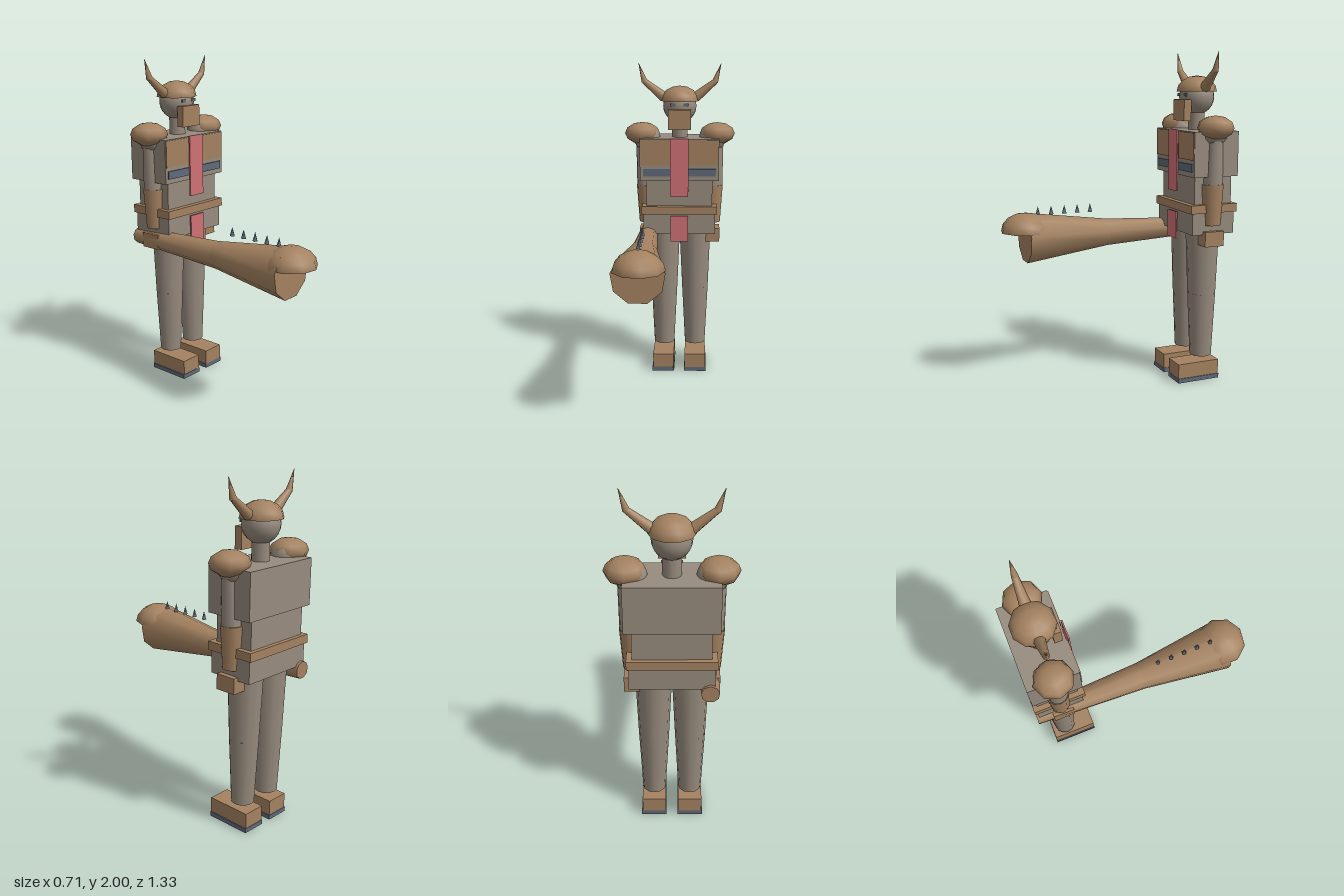
import * as THREE from 'three';

const mat = (name, color) => {
  const m = new THREE.MeshStandardMaterial({ color, side: THREE.DoubleSide });
  m.name = name;
  return m;
};

export function createModel() {
  const grey = mat('stone grey', 0x978b7e);
  const brown = mat('leather brown', 0xa48260);
  const red = mat('cloth red', 0xcf7074);
  const slate = mat('slate', 0x5f6a78);
  const model = new THREE.Group();
  model.name = 'hornedWarrior';
  const Z = -0.51; // body centre line

  const add = (name, geo, material, x = 0, y = 0, z = 0) => {
    const mesh = new THREE.Mesh(geo, material);
    mesh.name = name;
    mesh.position.set(x, y, z);
    model.add(mesh);
    return mesh;
  };
  // box given by its extents
  const box = (name, m, x0, x1, y0, y1, z0, z1) =>
    add(name, new THREE.BoxGeometry(x1 - x0, y1 - y0, z1 - z0), m,
      (x0 + x1) / 2, (y0 + y1) / 2, (z0 + z1) / 2);
  // tapered limb between two points
  const limb = (name, m, a, b, ra, rb, sides = 12) => {
    const A = new THREE.Vector3(...a), B = new THREE.Vector3(...b);
    const d = B.clone().sub(A);
    const mesh = add(name, new THREE.CylinderGeometry(rb, ra, d.length(), sides), m);
    mesh.position.copy(A).add(B).multiplyScalar(0.5);
    mesh.quaternion.setFromUnitVectors(new THREE.Vector3(0, 1, 0), d.normalize());
    return mesh;
  };
  const dome = (name, r, h, sides, x, y, z) => {
    const g = new THREE.SphereGeometry(r, sides, 4, 0, Math.PI * 2, 0, Math.PI / 2);
    g.rotateY(Math.PI).scale(1, h / r, 1);
    return add(name, g, brown, x, y, z);
  };

  // Torso
  box('chest', grey, -0.25, 0.25, 1.275, 1.54, -0.66, -0.37);
  box('abdomen', grey, -0.21, 0.21, 1.06, 1.275, -0.64, -0.395);
  box('pelvis', grey, -0.23, 0.23, 0.93, 1.08, -0.65, -0.375);
  box('belt', brown, -0.24, 0.24, 1.06, 1.11, -0.665, -0.36);
  box('chestStripe', slate, -0.23, 0.23, 1.305, 1.352, -0.371, -0.362);
  box('tabardUpper', red, -0.057, 0.057, 1.175, 1.545, -0.361, -0.352);
  box('tabardLower', red, -0.057, 0.057, 0.885, 1.05, -0.361, -0.352);

  // Head
  add('neck', new THREE.CylinderGeometry(0.05, 0.05, 0.14, 12), grey, 0, 1.59, Z);
  add('head', new THREE.SphereGeometry(0.106, 16, 12), grey, 0, 1.735, Z);
  box('beard', brown, -0.072, 0.072, 1.595, 1.72, -0.437, -0.39);
  dome('helmet', 0.123, 0.095, 10, 0, 1.767, Z);

  for (const s of [-1, 1]) {
    const side = s > 0 ? 'left' : 'right';
    const span = (name, m, a, b, ...rest) =>
      box(side + name, m, Math.min(s * a, s * b), Math.max(s * a, s * b), ...rest);

    span('Eye', slate, 0.025, 0.056, 1.74, 1.758, -0.416, -0.407);
    span('ChestPanel', brown, 0.055, 0.245, 1.375, 1.535, -0.372, -0.364);

    // Horn in two tapering pieces
    limb(side + 'HornBase', brown, [s * 0.1, 1.79, Z], [s * 0.225, 1.89, Z], 0.032, 0.018, 8);
    limb(side + 'HornTip', brown, [s * 0.222, 1.885, Z], [s * 0.26, 2.0, Z], 0.02, 0.001, 8);

    // Arm
    const pad = new THREE.SphereGeometry(0.112, 8, 6).scale(1, 0.63, 1);
    add(side + 'ShoulderPad', pad, brown, s * 0.24, 1.562, Z);
    add(side + 'Shoulder', new THREE.SphereGeometry(0.087, 12, 8), grey, s * 0.21, 1.533, Z);
    limb(side + 'UpperArm', grey, [s * 0.232, 1.5, Z], [s * 0.217, 1.22, Z], 0.048, 0.06);
    limb(side + 'Forearm', brown, [s * 0.212, 1.23, Z], [s * 0.21, 0.985, Z], 0.068, 0.054);
    span('Hand', brown, 0.14, 0.26, 0.86, 0.95, -0.57, -0.445);

    // Leg and boot
    limb(side + 'Thigh', grey, [s * 0.1, 0.95, Z], [s * 0.102, 0.545, Z], 0.102, 0.086);
    limb(side + 'Shin', grey, [s * 0.102, 0.545, Z], [s * 0.103, 0.148, Z], 0.086, 0.067);
    span('Boot', brown, 0.036, 0.172, 0.027, 0.118, -0.6, -0.327);
    span('Sole', slate, 0.033, 0.177, 0, 0.027, -0.602, -0.325);
  }

  // Club held forward in the right hand
  const clubPart = (name, rBack, rFront, z0, z1) =>
    add(name, new THREE.CylinderGeometry(rBack, rFront, z1 - z0, 9).rotateX(-Math.PI / 2),
      brown, -0.204, 0.906, (z0 + z1) / 2);
  clubPart('clubHandle', 0.051, 0.083, -0.665, 0);
  clubPart('clubHead', 0.083, 0.153, 0, 0.523);
  dome('clubCap', 0.148, 0.112, 9, -0.2, 0.947, 0.52);
  for (let i = 0; i < 5; i++) {
    add('clubSpike' + (i + 1), new THREE.ConeGeometry(0.015, 0.052, 5), slate,
      -0.204, 1.066, 0.107 + i * 0.083);
  }
  return model;
}
